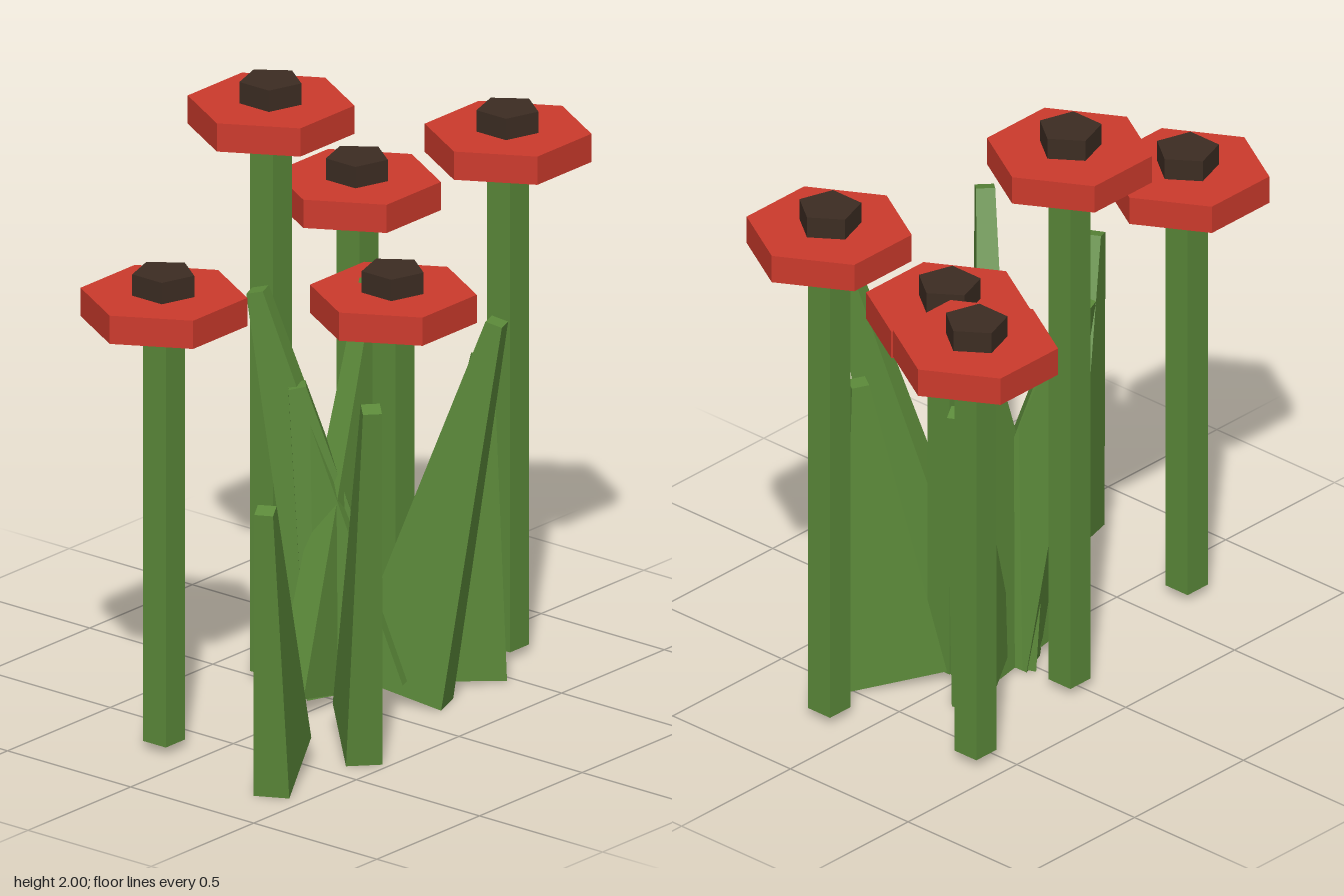
import * as THREE from 'three';

const green = new THREE.MeshStandardMaterial({ color: 0x5c8a3a });
green.name = 'leafGreen';
const red = new THREE.MeshStandardMaterial({ color: 0xcc3a2c });
red.name = 'petalRed';
const dark = new THREE.MeshStandardMaterial({ color: 0x3c2c22 });
dark.name = 'seedBrown';

function part(name, geometry, material) {
  const mesh = new THREE.Mesh(geometry, material);
  mesh.name = name;
  return mesh;
}

// Faceted prism with one corner pointing along +x
function prism(radius, height, sides) {
  const g = new THREE.CylinderGeometry(radius, radius, height, sides).rotateY(Math.PI / 2).toNonIndexed();
  g.computeVertexNormals();
  return g;
}

// Square stem, hexagonal bloom and pentagonal centre; top is the full height
function makeFlower(x, z, top) {
  const flower = new THREE.Group();
  flower.name = 'flower';
  const stemBottom = 0.03, bloomBottom = top - 0.165;
  const stemHeight = bloomBottom - stemBottom + 0.02;
  const stem = part('stem', new THREE.BoxGeometry(0.093, stemHeight, 0.093), green);
  stem.position.y = stemBottom + stemHeight / 2;
  const bloom = part('petals', prism(0.264, 0.094, 6), red);
  bloom.position.y = bloomBottom + 0.047;
  const seed = part('flowerCentre', prism(0.102, 0.1, 5), dark);
  seed.position.y = top - 0.05;
  flower.add(stem, bloom, seed);
  flower.position.set(x, 0, z);
  return flower;
}

// Tapered blade leaning from its base centre towards its tip
function makeLeaf(bx, bz, tx, ty, tz) {
  const dx = tx - bx, dz = tz - bz, run = Math.hypot(dx, dz);
  const width = 0.335, thick = 0.115;
  let tilt = Math.atan2(run, ty);
  const baseY = Math.sin(tilt) * width / 2 + 0.005;
  tilt = Math.atan2(run, ty - baseY);
  const length = Math.hypot(run, ty - baseY);
  const g = new THREE.BoxGeometry(width, length, thick).translate(0, length / 2, 0);
  const p = g.attributes.position;
  for (let i = 0; i < p.count; i++) {
    if (p.getY(i) > length / 2) {
      p.setX(i, Math.sign(p.getX(i)) * 0.028);
      p.setZ(i, Math.sign(p.getZ(i)) * 0.03);
    }
  }
  g.rotateZ(-tilt).rotateY(Math.atan2(-dz, dx)).translate(bx, baseY, bz);
  g.computeVertexNormals();
  return part('leaf', g, green);
}

export function createModel() {
  const model = new THREE.Group();
  model.name = 'flowerPatch';

  // Flowers: x, z, top height
  [
    [-0.67, -0.14, 1.592],
    [0.02, -0.28, 2.0],
    [0.555, -0.375, 1.568],
    [0.208, 0.06, 1.397],
    [0.665, 0.145, 1.822],
  ].forEach((f) => model.add(makeFlower(...f)));

  // Leaves: base x, base z, tip x, tip y, tip z
  [
    [-0.645, 0.32, -0.865, 0.99, 0.435],
    [-0.278, 0.32, -0.505, 1.255, 0.565],
    [-0.025, -0.033, 0.22, 1.335, -0.035],
    [0.135, 0.14, 0.25, 1.3, 0.445],
    [0.053, 0.05, -0.07, 1.33, -0.26],
    [0.09, 0.02, -0.04, 1.035, -0.125],
    [0.195, -0.075, 0.455, 1.13, -0.21],
    [0.363, 0.163, 0.45, 1.075, 0.22],
  ].forEach((l) => model.add(makeLeaf(...l)));

  return model;
}
